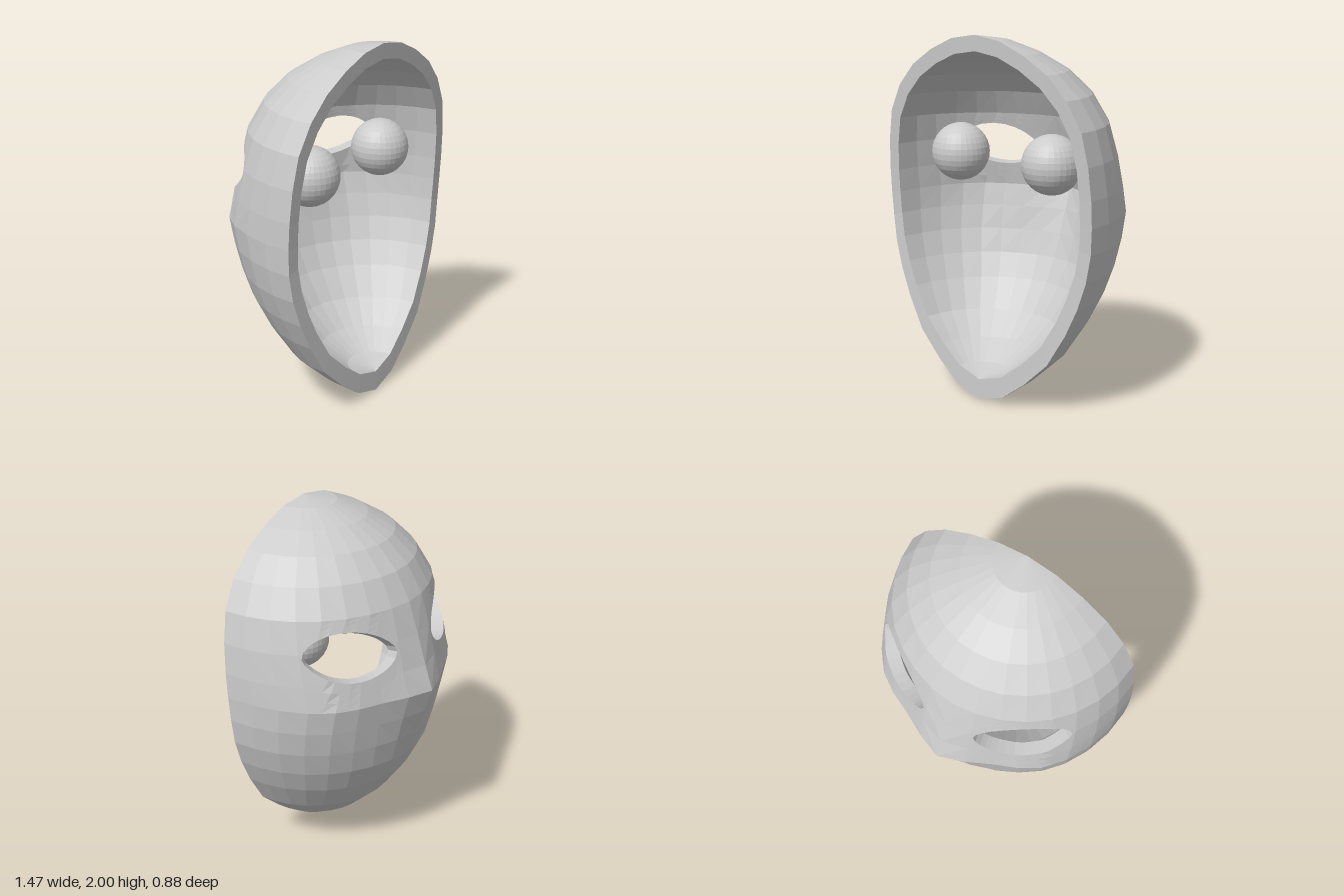
import * as THREE from 'three';

// Shell rows from crown to chin: height, half width at the rim, z of the centre line
const ROW_Y = [2, 1.975, 1.91, 1.82, 1.7, 1.55, 1.38, 1.21, 1.07, 0.93, 0.78, 0.63, 0.48, 0.3, 0.16, 0.05, 0];
const ROW_X = [0, 0.17, 0.33, 0.48, 0.6, 0.685, 0.72, 0.733, 0.733, 0.725, 0.7, 0.65, 0.58, 0.47, 0.32, 0.17, 0];
const ROW_Z = [0.44, 0.25, 0.08, -0.07, -0.19, -0.277, -0.335, -0.39, -0.438, -0.39, -0.335, -0.28, -0.2, -0.07, 0.08, 0.25, 0.437];
// Hollow beside the nose ridge, per column from rim to centre
const HOLLOW = [0, 0, 0, 0, 0.02, 0.06, 0.08, 0.045, 0];
const ROWS = 16, COLS = 8;

function gridPoint(u, v) {
  const a = (u / COLS) * Math.PI / 2;
  const y = ROW_Y[v];
  const rimZ = 0.37 + 0.07 * Math.pow(Math.abs(y - 0.95) / 1.05, 1.3);
  const fade = Math.exp(-(((v - 8) / 2) ** 2));
  const depth = (rimZ - ROW_Z[v]) * (1 - HOLLOW[u] * fade);
  const x = u === COLS ? 0 : ROW_X[v] * Math.cos(a);
  return new THREE.Vector3(x, y, rimZ - depth * Math.sin(a));
}

// Point on the faceted surface at fractional column and row
function outer(u, v) {
  const i = Math.min(Math.floor(u), COLS - 1), j = Math.min(Math.floor(v), ROWS - 1);
  const top = gridPoint(i, j).lerp(gridPoint(i + 1, j), u - i);
  const low = gridPoint(i, j + 1).lerp(gridPoint(i + 1, j + 1), u - i);
  return top.lerp(low, v - j);
}

// The inside is the outside shrunk about the middle
function inner(u, v) {
  const p = outer(u, v);
  return p.set(p.x * 0.9, 0.115 + p.y * 0.9, 0.4 + (p.z - 0.4) * 0.9);
}

// Patch of grid cells that holds the eye opening, and its outline
const PATCH = { u0: 3, u1: 7, v0: 5, v1: 8 };
function patchOutline() {
  const { u0, u1, v0, v1 } = PATCH, step = 0.5, pts = [];
  for (let v = v0; v < v1; v += step) pts.push([u1, v]);
  for (let u = u1; u > u0; u -= step) pts.push([u, v1]);
  for (let v = v1; v > v0; v -= step) pts.push([u0, v]);
  for (let u = u0; u < u1; u += step) pts.push([u, v0]);
  return pts;
}

// Almond opening point facing a given patch outline point
function openingPoint([u, v]) {
  const t = Math.atan2((v - 6.2) / 1.5, (u - 5) / 2);
  const s = Math.sin(t);
  return [5 + 1.88 * Math.cos(t) + 0.25 * s, 6.2 + Math.sign(s) * 0.8 * Math.pow(Math.abs(s), 1.25)];
}

function shellGeometry() {
  const pos = [];
  const tri = (a, b, c) => {
    const area = b.clone().sub(a).cross(c.clone().sub(a)).length();
    if (area < 1e-7) return;
    for (const p of [a, b, c]) pos.push(p.x, p.y, p.z);
    for (const p of [a, c, b]) pos.push(-p.x, p.y, p.z); // mirrored half
  };
  const quad = (a, b, c, d) => { tri(a, b, c); tri(a, c, d); };
  // One cell on both skins, corners given as [u, v]
  const cell = (a, b, c, d) => {
    quad(outer(...a), outer(...b), outer(...c), outer(...d));
    quad(inner(...d), inner(...c), inner(...b), inner(...a));
  };

  // Regular cells outside the eye patch
  for (let v = 0; v < ROWS; v++) {
    for (let u = 0; u < COLS; u++) {
      const inPatch = u >= PATCH.u0 && u < PATCH.u1 && v >= PATCH.v0 && v < PATCH.v1;
      if (!inPatch) cell([u, v], [u, v + 1], [u + 1, v + 1], [u + 1, v]);
    }
    // Rim joining both skins
    quad(inner(0, v), inner(0, v + 1), outer(0, v + 1), outer(0, v));
  }

  // Rings from the patch edge to the eye opening, then the opening's wall
  const edge = patchOutline(), hole = edge.map(openingPoint), n = edge.length, rings = 3;
  const mix = (k, f) => [0, 1].map((i) => hole[k][i] + (edge[k][i] - hole[k][i]) * f);
  for (let k = 0; k < n; k++) {
    const m = (k + 1) % n;
    for (let r = 0; r < rings; r++) {
      const f = r / rings, g = (r + 1) / rings;
      cell(mix(k, f), mix(m, f), mix(m, g), mix(k, g));
    }
    quad(outer(...hole[k]), inner(...hole[k]), inner(...hole[m]), outer(...hole[m]));
  }

  const geo = new THREE.BufferGeometry();
  geo.setAttribute('position', new THREE.Float32BufferAttribute(pos, 3));
  geo.computeVertexNormals();
  return geo;
}

export function createModel() {
  const group = new THREE.Group();
  group.name = 'mask';
  const grey = new THREE.MeshStandardMaterial({ color: 0xcccccc, flatShading: true });

  const shell = new THREE.Mesh(shellGeometry(), grey);
  shell.name = 'maskShell';
  group.add(shell);

  // Eyeballs floating inside the shell
  const ball = new THREE.SphereGeometry(0.162, 32, 16);
  for (const side of [1, -1]) {
    const eye = new THREE.Mesh(ball, grey);
    eye.name = side > 0 ? 'leftEyeball' : 'rightEyeball';
    eye.position.set(side * 0.333, 1.327, 0.21);
    group.add(eye);
  }
  return group;
}
